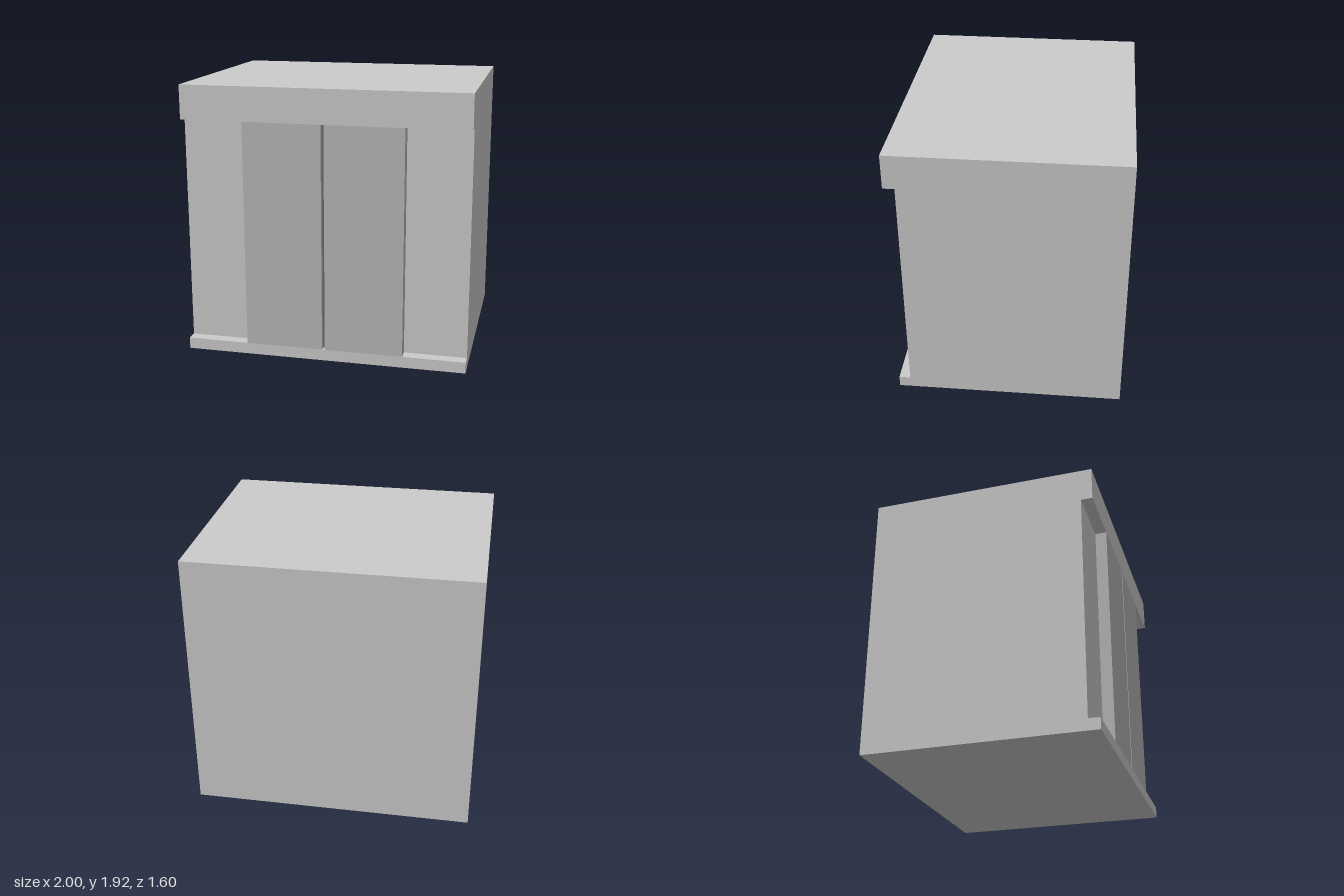
import * as THREE from 'three';

const W = 2, H = 1.92, BACK = -0.8, FRONT = 0.8, WALL = 0.72; // overall size and recessed front wall
const SILL = 0.08, LINTEL = 1.68;                             // door opening heights
const DOOR_EDGE = 0.56, GAP = 0.01;                           // half widths of doorway and seam

const grey = (color) => new THREE.MeshStandardMaterial({ color, flatShading: true });

export function createModel() {
  const model = new THREE.Group();
  model.name = 'elevator';

  const add = (name, geometry, material) => {
    const mesh = new THREE.Mesh(geometry, material);
    mesh.name = name;
    model.add(mesh);
    return mesh;
  };

  // Cabin: side profile (z, y) with header and sill lips, swept across the width
  const profile = new THREE.Shape([
    [BACK, 0], [FRONT, 0], [FRONT, SILL], [WALL, SILL],
    [WALL, LINTEL], [FRONT, LINTEL], [FRONT, H], [BACK, H],
  ].map(([z, y]) => new THREE.Vector2(z, y)));
  const cabin = new THREE.ExtrudeGeometry(profile, { depth: W, bevelEnabled: false });
  cabin.rotateY(-Math.PI / 2).translate(W / 2, 0, 0);
  add('cabin', cabin, grey(0xcccccc));

  // Pair of sliding doors, flush with the header and sill
  const doorHeight = LINTEL - SILL, midY = (LINTEL + SILL) / 2;
  const doorWidth = DOOR_EDGE - GAP;
  const doorMaterial = grey(0xb8b8b8);
  for (const [name, side] of [['leftDoor', 1], ['rightDoor', -1]]) {
    const door = add(name, new THREE.BoxGeometry(doorWidth, doorHeight, FRONT - WALL), doorMaterial);
    door.position.set(side * (GAP + doorWidth / 2), midY, (FRONT + WALL) / 2);
  }

  // Dark seam set back between the doors
  const seam = add('doorSeam', new THREE.BoxGeometry(GAP * 2, doorHeight, 0.04), grey(0x666666));
  seam.position.set(0, midY, WALL + 0.02);

  return model;
}
